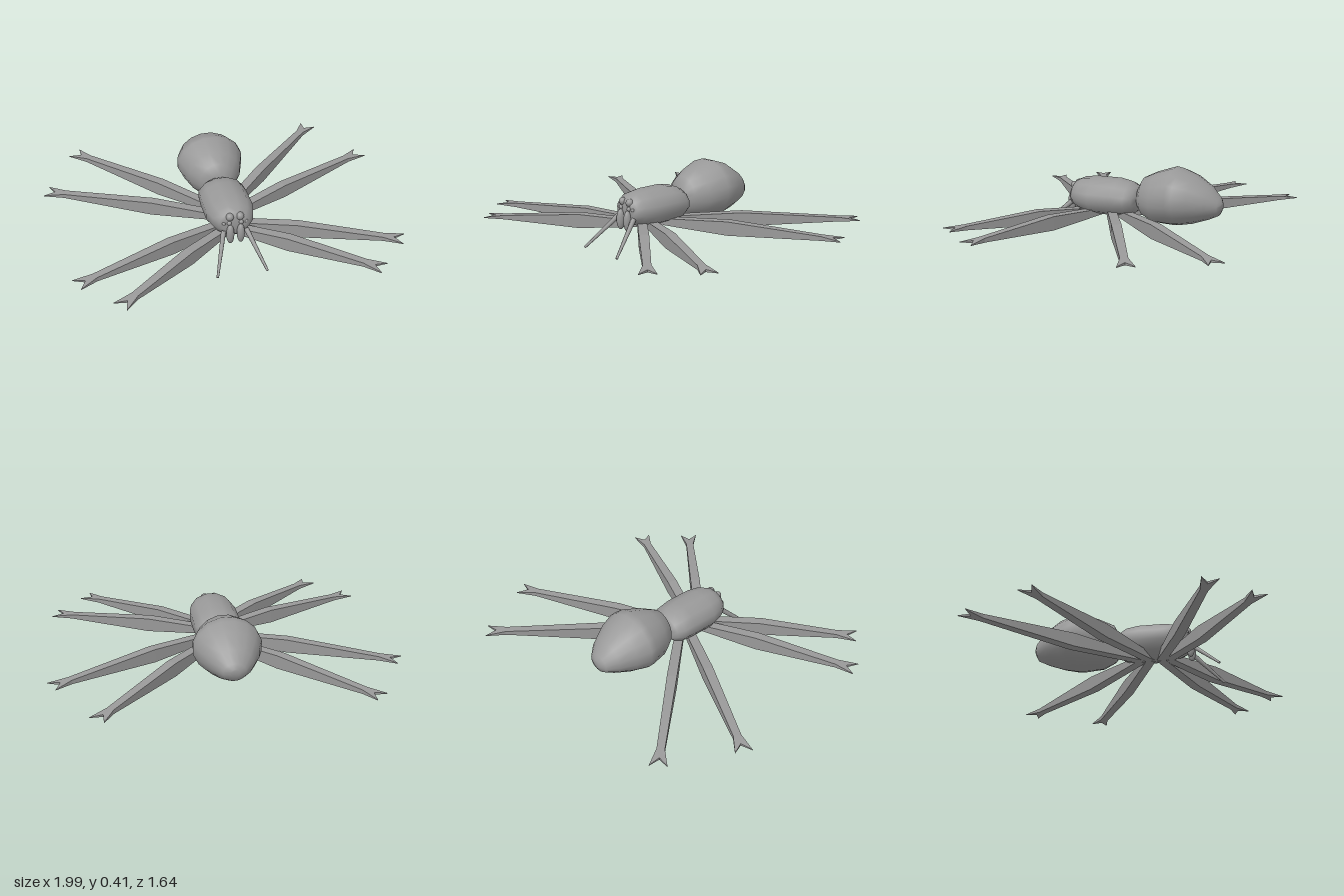
import * as THREE from 'three';

const grey = new THREE.MeshStandardMaterial({ color: 0x999999 });
grey.name = 'grey';

// Skin a list of equal-length point rings running from back to front, with capped ends
function loft(rings, flat = false) {
  const n = rings[0].length, pos = [], idx = [];
  rings.forEach(r => r.forEach(p => pos.push(...p)));
  for (let i = 0; i < rings.length - 1; i++) {
    for (let j = 0; j < n; j++) {
      const a = i * n + j, b = i * n + (j + 1) % n;
      idx.push(a, b, a + n, b, b + n, a + n);
    }
  }
  const last = (rings.length - 1) * n;
  for (let j = 1; j < n - 1; j++) {
    idx.push(0, j + 1, j, last, last + j, last + j + 1);
  }
  let g = new THREE.BufferGeometry();
  g.setAttribute('position', new THREE.Float32BufferAttribute(pos, 3));
  g.setIndex(idx);
  if (flat) g = g.toNonIndexed();
  g.computeVertexNormals();
  return g;
}

// Body ring: [z, half width, bottom, top]
function oval([z, w, y0, y1], sides) {
  return Array.from({ length: sides }, (_, j) => {
    const a = (j + 0.5) / sides * Math.PI * 2;
    const k = 1 / Math.cos(Math.PI / sides);
    return [Math.cos(a) * w, (y0 + y1) / 2 + Math.sin(a) * k * (y1 - y0) / 2, z];
  });
}

// Rectangular ring whose two sides may lie at different distances and heights
const slab = (xl, zl, hl, xr, zr, hr) =>
  [[xr, -hr, zr], [xr, hr, zr], [xl, hl, zl], [xl, -hl, zl]];

function add(parent, name, geometry, x = 0, y = 0, z = 0) {
  const m = new THREE.Mesh(geometry, grey);
  m.name = name;
  m.position.set(x, y, z);
  parent.add(m);
  return m;
}

// Leg lying along local +z, deepest at the knee, ending in a forked foot
function makeLeg(name, hubZ, endX, endZ) {
  const leg = new THREE.Group();
  leg.name = name;
  const dx = endX, dz = endZ - hubZ, len = Math.hypot(dx, dz);
  const stations = [[0, 0.026, 0.016], [0.45, 0.028, 0.04], [1, 0.022, 0.012]];
  add(leg, 'shaft', loft(stations.map(([t, w, h]) =>
    slab(-w, t * len, h, w, t * len, h)), true));
  const tip = len + 0.115, notch = len + 0.06;
  add(leg, 'footProngA', loft([
    slab(0, len, 0.012, 0.022, len, 0.012),
    slab(0, notch, 0.007, 0.048, tip, 0.002)], true));
  add(leg, 'footProngB', loft([
    slab(-0.022, len, 0.012, 0, len, 0.012),
    slab(-0.048, tip, 0.002, 0, notch, 0.007)], true));
  leg.position.set(0, 0.12, hubZ);
  leg.rotation.y = Math.atan2(dx, dz);
  return leg;
}

export function createModel() {
  const model = new THREE.Group();
  model.name = 'spider';

  // Body
  const abdomen = [
    [-0.56, 0.025, 0.19, 0.235], [-0.545, 0.065, 0.16, 0.26], [-0.49, 0.115, 0.135, 0.32],
    [-0.4, 0.165, 0.105, 0.378], [-0.32, 0.195, 0.09, 0.405], [-0.28, 0.192, 0.087, 0.413],
    [-0.17, 0.155, 0.09, 0.376], [-0.095, 0.105, 0.12, 0.34], [-0.065, 0.06, 0.155, 0.285],
  ];
  add(model, 'abdomen', loft(abdomen.map(r => oval(r, 16))));
  const thorax = [
    [-0.065, 0.07, 0.15, 0.255], [-0.05, 0.108, 0.135, 0.28], [-0.01, 0.135, 0.118, 0.302],
    [0.06, 0.14, 0.107, 0.316], [0.21, 0.14, 0.107, 0.316], [0.285, 0.12, 0.125, 0.307],
    [0.325, 0.092, 0.14, 0.288], [0.342, 0.07, 0.155, 0.268],
  ];
  add(model, 'thorax', loft(thorax.map(r => oval(r, 12))));

  // Legs, back to front: [hub z, foot x, foot z]
  const legs = [[0.063, 0.68, -0.69], [0.116, 0.87, -0.325], [0.176, 0.81, 0.515], [0.22, 0.63, 0.72]];
  for (const [side, s] of [['left', 1], ['right', -1]]) {
    legs.forEach(([hub, x, z], i) => model.add(makeLeg(side + 'Leg' + (i + 1), hub, s * x, z)));

    // Fangs and feelers
    const fang = add(model, side + 'Fang', new THREE.SphereGeometry(1, 12, 10), s * 0.03, 0.162, 0.35);
    fang.scale.set(0.023, 0.06, 0.024);
    const top = new THREE.Vector3(s * 0.065, 0.175, 0.335);
    const dir = new THREE.Vector3(s * 0.142, 0.004, 0.522).sub(top);
    const feeler = add(model, side + 'Feeler', new THREE.CylinderGeometry(0.007, 0.015, dir.length(), 8));
    feeler.position.copy(top).addScaledVector(dir, 0.5);
    feeler.quaternion.setFromUnitVectors(new THREE.Vector3(0, 1, 0), dir.clone().normalize());

    // Eyes: [x, y, z, radius]
    [[0.029, 0.264, 0.332, 0.023], [0.034, 0.23, 0.342, 0.013], [0.063, 0.228, 0.336, 0.011]]
      .forEach(([x, y, z, r], i) =>
        add(model, side + 'Eye' + (i + 1), new THREE.SphereGeometry(r, 12, 8), s * x, y, z));
  }
  return model;
}
